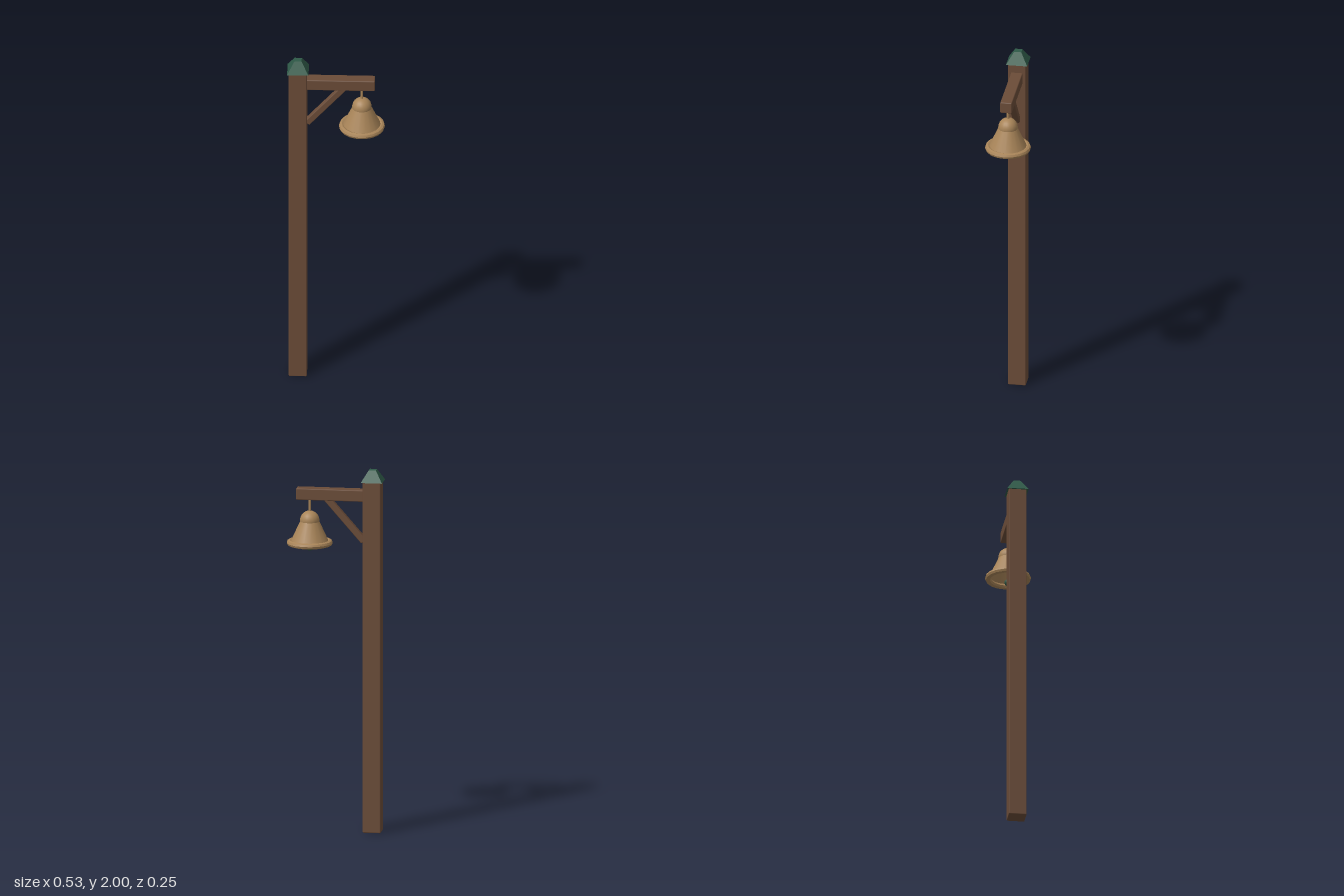
import * as THREE from 'three';
import { RoundedBoxGeometry } from 'three/addons/geometries/RoundedBoxGeometry.js';
import { toCreasedNormals } from 'three/addons/utils/BufferGeometryUtils.js';

function material(name, color, side = THREE.FrontSide) {
  const m = new THREE.MeshStandardMaterial({ color, side });
  m.name = name;
  return m;
}

export function createModel() {
  const model = new THREE.Group();
  model.name = 'bellPost';

  const wood = material('brown wood', 0x6b4c38);
  const bronze = material('bronze', 0xa88458, THREE.DoubleSide);
  const green = material('dark green', 0x2f5a48);

  const add = (parent, name, geometry, mat, x = 0, y = 0, z = 0) => {
    const mesh = new THREE.Mesh(geometry, mat);
    mesh.name = name;
    mesh.position.set(x, y, z);
    parent.add(mesh);
    return mesh;
  };
  const beam = (w, h, d) => new RoundedBoxGeometry(w, h, d, 1, 0.005);

  const postX = -0.208;
  const bellX = 0.137;

  // Upright post and its truncated pyramid cap
  add(model, 'post', beam(0.098, 1.94, 0.098), wood, postX, 0.97);
  const cap = new THREE.CylinderGeometry(0.0195 * Math.SQRT2, 0.058 * Math.SQRT2, 0.064, 4);
  cap.rotateY(Math.PI / 4);
  add(model, 'postCap', toCreasedNormals(cap, 0.3), green, postX, 1.968);

  // Horizontal arm, its inner end let into the post
  add(model, 'arm', beam(0.391, 0.063, 0.064), wood, 0.0125, 1.857);

  // Diagonal brace between post and arm
  const from = new THREE.Vector2(-0.16, 1.603);
  const to = new THREE.Vector2(0.05, 1.842);
  const along = to.clone().sub(from);
  const brace = add(model, 'brace', beam(along.length(), 0.035, 0.036), wood,
    (from.x + to.x) / 2, (from.y + to.y) / 2);
  brace.rotation.z = along.angle();

  // Hanging bell: rod, open skirt, crown, rim and clapper
  const bell = new THREE.Group();
  bell.name = 'bell';
  bell.position.x = bellX;
  model.add(bell);

  add(bell, 'hangerRod', new THREE.CylinderGeometry(0.007, 0.007, 0.09, 8), bronze, 0, 1.795);

  const sides = 18;
  const skirt = new THREE.CylinderGeometry(0.05, 0.106, 0.122, sides, 1, true);
  skirt.rotateY(Math.PI / 2);
  add(bell, 'bellSkirt', skirt, bronze, 0, 1.647);

  const crown = new THREE.SphereGeometry(0.053, sides, 10, 0, Math.PI * 2, 0, Math.PI * 0.62);
  add(bell, 'bellCrown', crown, bronze, 0, 1.709);

  const rim = new THREE.TorusGeometry(0.109, 0.016, 8, sides);
  rim.rotateX(Math.PI / 2);
  add(bell, 'bellRim', toCreasedNormals(rim, 0.6), bronze, 0, 1.586);

  add(bell, 'clapperRod', new THREE.CylinderGeometry(0.005, 0.005, 0.14, 8), green, 0, 1.635);
  add(bell, 'clapper', new THREE.SphereGeometry(0.02, 12, 8), green, 0, 1.56);

  return model;
}
